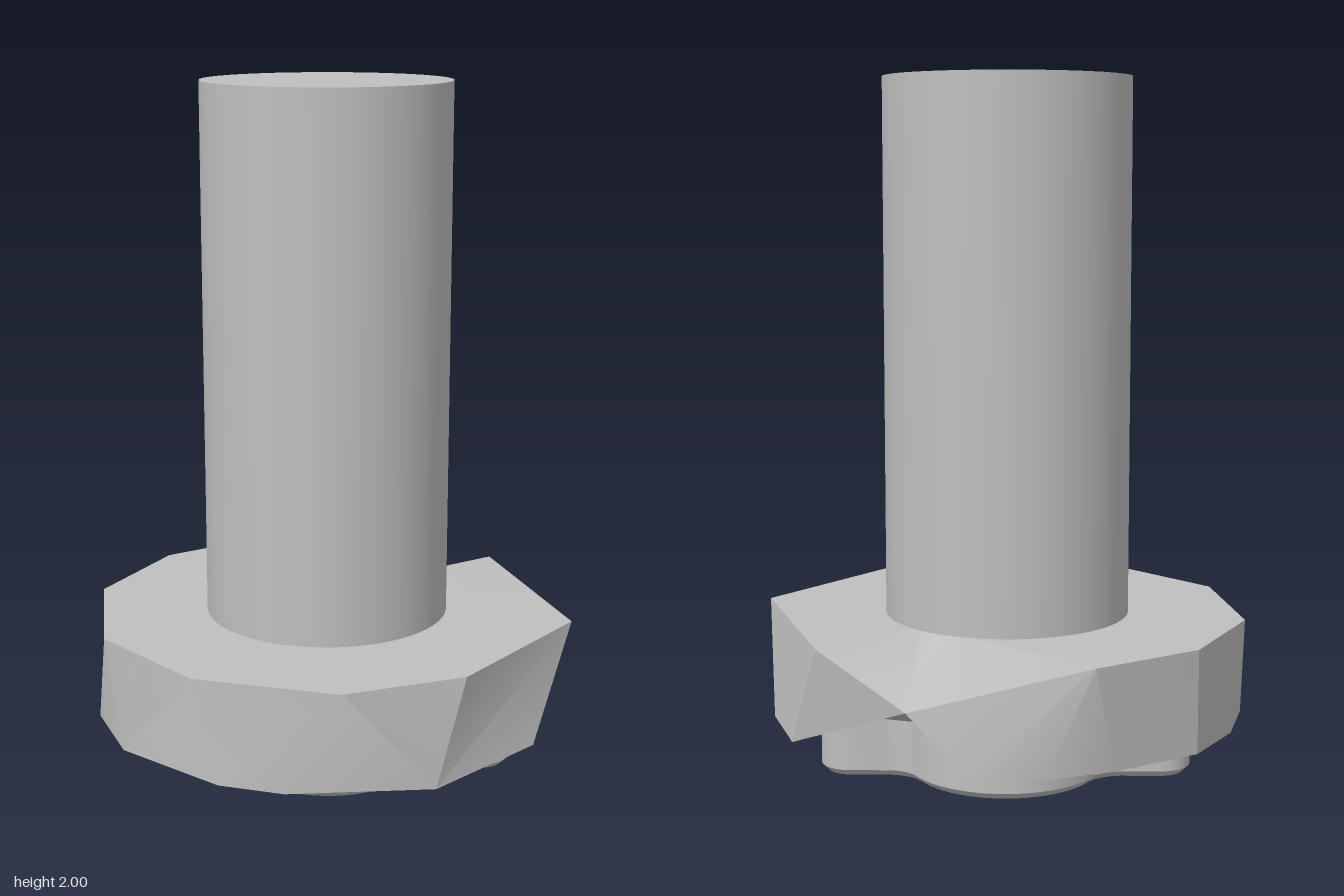
import * as THREE from 'three';
import { toCreasedNormals } from 'three/addons/utils/BufferGeometryUtils.js';

const TOP = 0.48, BASE = 0.19;
const CX = -0.015, CZ = -0.007, R = 0.35;

const ring = (pts, y) => pts.map(([x, z]) => new THREE.Vector3(x, y, z));

// Joins two closed rings that start at the same bearing and turn from x to z.
function stitch(a, b, bias, out) {
  const start = Math.atan2(b[0].z, b[0].x);
  const bearings = (r) => r.map((p, i) => {
    if (i === 0) return 0;
    const t = Math.atan2(p.z, p.x) - start;
    return ((t % (2 * Math.PI)) + 2 * Math.PI) % (2 * Math.PI);
  }).concat(2 * Math.PI);
  const ta = bearings(a), tb = bearings(b);
  let i = 0, j = 0;
  while (i < a.length || j < b.length) {
    const p = a[i % a.length], q = b[j % b.length];
    const stepB = i >= a.length || (j < b.length && tb[j + 1] < ta[i + 1] + bias);
    if (stepB) out.push(p, b[++j % b.length], q);
    else out.push(p, a[++i % a.length], q);
  }
}

function collarGeometry() {
  // Lowered corner at the back, shared by the upper and lower rims
  const dip = new THREE.Vector3(0.24, 0.36, -0.65);
  const upper = [dip, ...ring([
    [0.49, -0.47], [0.69, 0.12], [0.37, 0.55], [0.04, 0.68], [-0.36, 0.58],
    [-0.63, 0.29], [-0.69, -0.13], [-0.53, -0.46], [-0.25, -0.65],
  ], TOP)];
  const lowerRim = ring([
    [0.57, -0.36], [0.65, -0.12], [0.57, 0.33], [0.29, 0.62], [-0.11, 0.66],
    [-0.29, 0.61], [-0.57, 0.39], [-0.67, 0.15], [-0.69, -0.05], [-0.64, -0.26],
    [-0.53, -0.45], [-0.30, -0.60], [-0.12, -0.67], [0.08, -0.68],
  ], BASE);
  const notch = ring([[0.03, -0.24], [0.44, -0.11]], BASE);

  const start = Math.atan2(dip.z, dip.x);
  const circle = Array.from({ length: 48 }, (_, i) => {
    const t = start + (i / 48) * Math.PI * 2;
    return new THREE.Vector3(CX + R * Math.cos(t), TOP, CZ + R * Math.sin(t));
  });

  const tris = [];
  stitch(circle, upper, 0, tris);                        // top face
  stitch(upper, [dip, ...lowerRim], 0.175, tris);        // faceted side
  const floor = [...lowerRim, ...notch];                 // underside
  const flat = floor.map((p) => new THREE.Vector2(p.x, p.z));
  for (const f of THREE.ShapeUtils.triangulateShape(flat, [])) {
    tris.push(...f.map((k) => floor[k]));
  }
  // sloping notch under the lowered corner
  const edge = [lowerRim[0], notch[1], notch[0], lowerRim[lowerRim.length - 1]];
  for (let k = 0; k < 3; k++) tris.push(dip, edge[k], edge[k + 1]);

  // Drop the empty triangles at the shared corner
  const pos = [];
  for (let k = 0; k < tris.length; k += 3) {
    const [p, q, r] = tris.slice(k, k + 3);
    if (new THREE.Triangle(p, q, r).getArea() < 1e-7) continue;
    for (const v of [p, q, r]) pos.push(v.x, v.y, v.z);
  }
  const geo = new THREE.BufferGeometry();
  geo.setAttribute('position', new THREE.Float32BufferAttribute(pos, 3));
  return toCreasedNormals(geo, 0.45);
}

// Round key with a lobe on each side and filleted roots, chamfered underneath
function keyGeometry() {
  const bevel = 0.02, body = 0.29 - bevel, w = 0.09 - bevel;
  const fillet = 0.1 + bevel, lobe = 0.45;
  const fz = w + fillet, fx = Math.sqrt((body + fillet) ** 2 - fz ** 2);
  const a = Math.atan2(fz, fx), P = Math.PI;
  const s = new THREE.Shape();
  s.absarc(lobe, 0, w, -P / 2, P / 2, false);
  s.absarc(fx, fz, fillet, -P / 2, -P + a, true);
  s.absarc(0, 0, body, a, P - a, false);
  s.absarc(-fx, fz, fillet, -a, -P / 2, true);
  s.absarc(-lobe, 0, w, P / 2, 1.5 * P, false);
  s.absarc(-fx, -fz, fillet, P / 2, a, true);
  s.absarc(0, 0, body, P + a, 2 * P - a, false);
  s.absarc(fx, -fz, fillet, P - a, P / 2, true);
  const height = 0.25;
  const geo = new THREE.ExtrudeGeometry(s, {
    depth: height - 2 * bevel, bevelEnabled: true, bevelSize: bevel,
    bevelThickness: bevel, bevelSegments: 1, curveSegments: 16,
  });
  geo.rotateX(P / 2).translate(-0.01, height - bevel, 0);
  return toCreasedNormals(geo, 0.6);
}

export function createModel() {
  const grey = new THREE.MeshStandardMaterial({ color: 0xbfbfbf });
  grey.name = 'plain grey';
  const group = new THREE.Group();
  group.name = 'keyedPin';
  const add = (name, geo) => {
    const mesh = new THREE.Mesh(geo, grey);
    mesh.name = name;
    group.add(mesh);
  };

  const shaft = new THREE.CylinderGeometry(R, R, 2 - TOP, 64);
  shaft.translate(CX, (2 + TOP) / 2, CZ);
  add('shaft', shaft);
  add('collar', collarGeometry());
  add('key', keyGeometry());
  return group;
}
